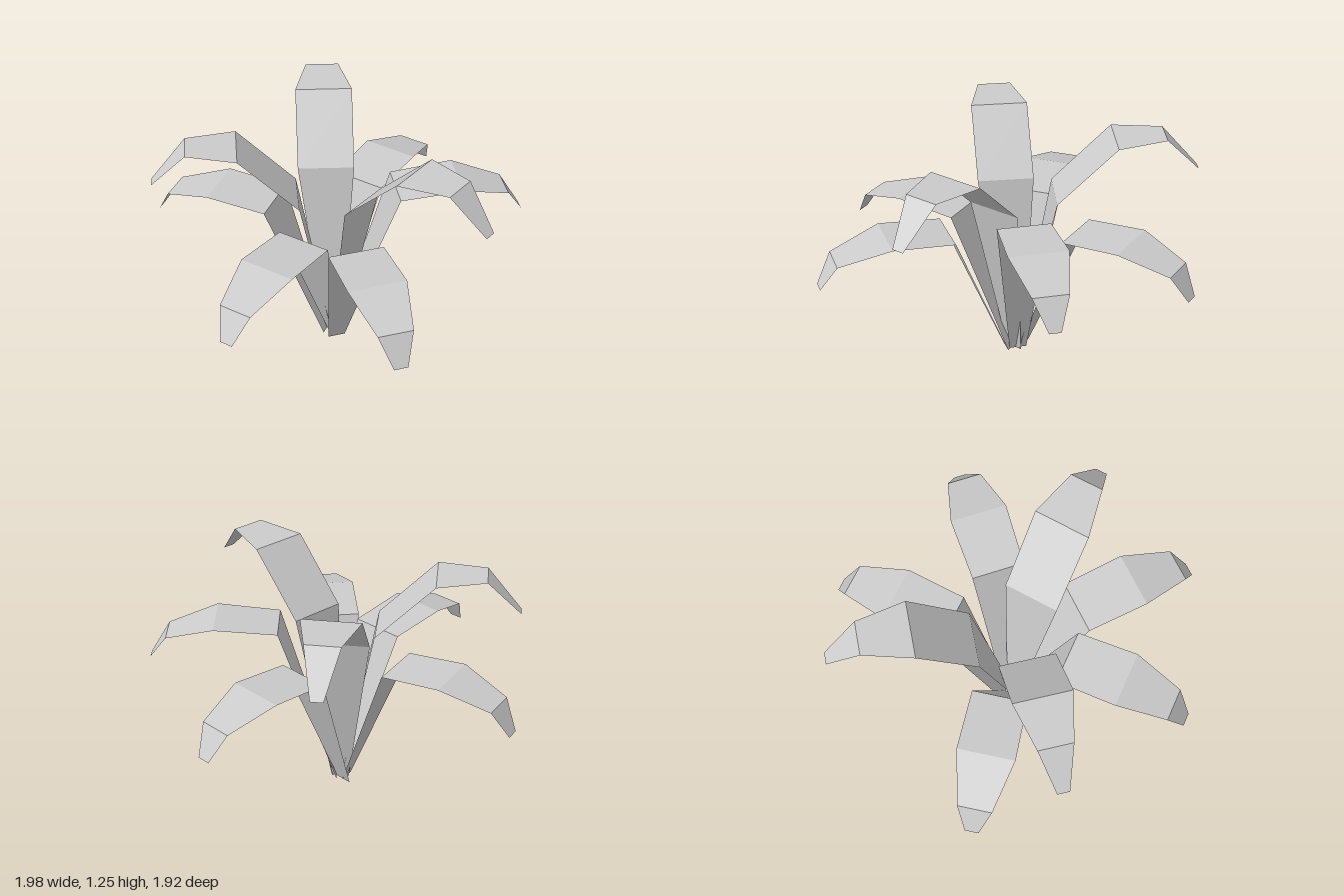
import * as THREE from 'three';

// Leaf profiles from the first fold to the tip:
// [fraction of the way out, height, half width]
const LOW = [[0, 0.8, 0.147], [0.48, 0.83, 0.152], [0.875, 0.75, 0.09], [1, 0.605, 0.036]];
const MID = [[0, 0.94, 0.14], [0.485, 0.97, 0.152], [0.86, 0.89, 0.092], [1, 0.745, 0.03]];
const HIGH = [[0, 0.94, 0.15], [0.41, 1.245, 0.152], [0.757, 1.255, 0.09], [1, 1.06, 0.032]];

// name, profile, and the x, z of base, first fold and tip
const LEAVES = [
  ['leftLeaf', LOW, [0.01, -0.05], [0.31, -0.09], [0.983, -0.165]],
  ['rightLeaf', LOW, [-0.02, 0.02], [-0.31, 0.055], [-0.99, 0.147]],
  ['backLeaf', LOW, [-0.025, -0.035], [-0.125, -0.31], [-0.35, -0.95]],
  ['frontRightLeaf', LOW, [-0.04, 0.05], [-0.21, 0.32], [-0.585, 0.905]],
  ['frontLeftLeaf', MID, [0.01, 0.01], [0.22, 0.23], [0.745, 0.67]],
  ['tallFrontLeaf', HIGH, [-0.01, 0.02], [-0.005, 0.19], [0.03, 0.952]],
  ['tallBackLeftLeaf', HIGH, [0, -0.01], [0.12, -0.16], [0.675, -0.67]],
  ['tallBackRightLeaf', HIGH, [-0.02, 0], [-0.165, -0.11], [-0.69, -0.635]],
];

const material = new THREE.MeshStandardMaterial({
  color: 0xcccccc, flatShading: true, side: THREE.DoubleSide,
});

// A flat strip with one cross edge per profile row, narrow at the ground
function makeLeaf(name, profile, base, fold, tip) {
  const start = new THREE.Vector2(...fold);
  const end = new THREE.Vector2(...tip);
  const dir = end.clone().sub(start).normalize();
  const points = [];
  const addEdge = (c, y, half) => {
    for (const s of [-1, 1]) points.push(c.x + s * dir.y * half, y, c.y - s * dir.x * half);
  };
  addEdge(new THREE.Vector2(...base), 0, 0.047);
  for (const [t, y, half] of profile) addEdge(start.clone().lerp(end, t), y, half);

  const index = [];
  for (let i = 0; i < profile.length; i++) {
    const a = i * 2;
    index.push(a, a + 2, a + 1, a + 1, a + 2, a + 3);
  }
  const geometry = new THREE.BufferGeometry();
  geometry.setAttribute('position', new THREE.Float32BufferAttribute(points, 3));
  geometry.setIndex(index);
  // Upper face points up; separate corners keep the folds sharp
  const faceted = geometry.toNonIndexed();
  faceted.computeVertexNormals();
  const mesh = new THREE.Mesh(faceted, material);
  mesh.name = name;
  return mesh;
}

export function createModel() {
  const plant = new THREE.Group();
  plant.name = 'leafyPlant';
  for (const leaf of LEAVES) plant.add(makeLeaf(...leaf));
  return plant;
}
